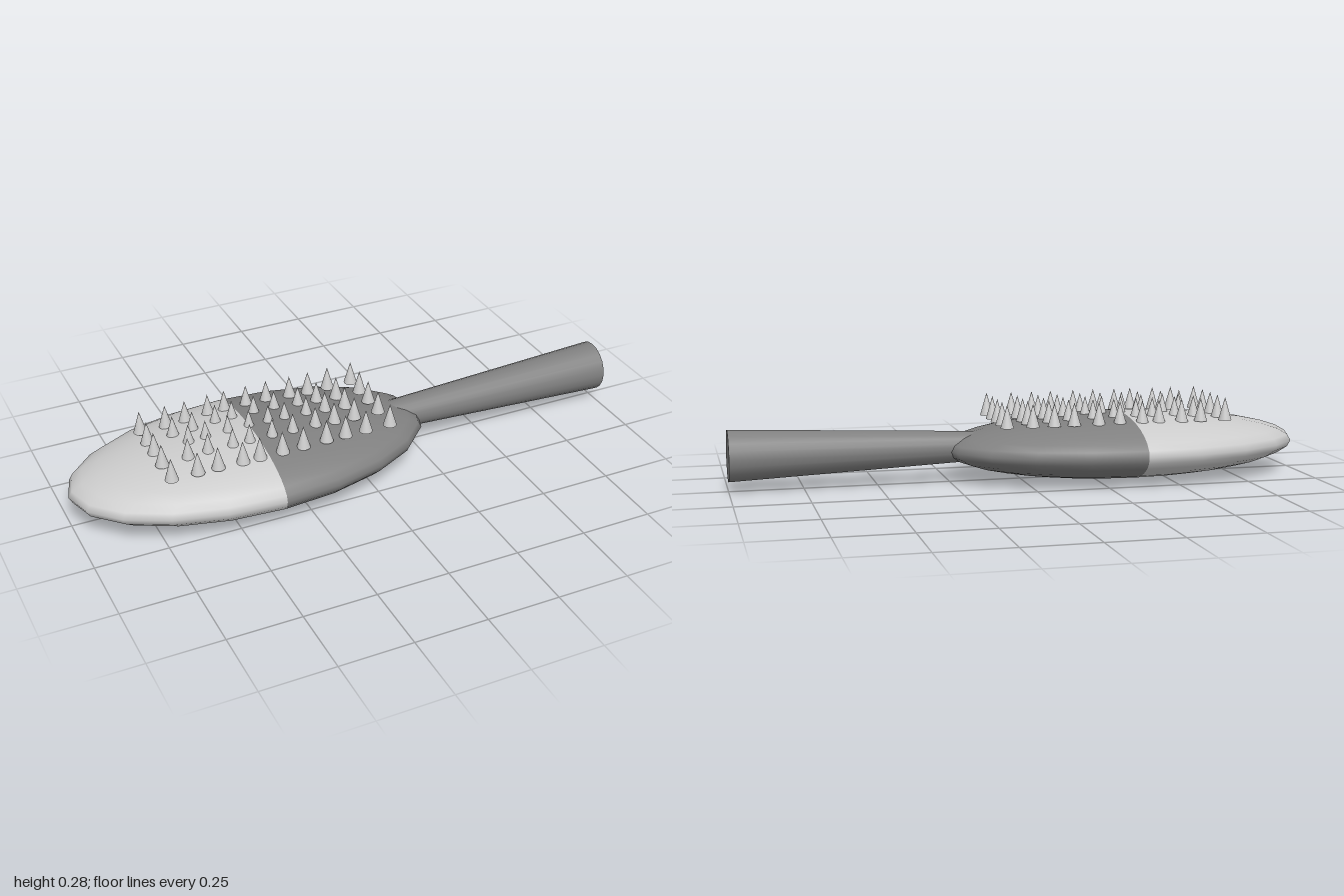
import * as THREE from 'three';

export function createModel() {
  const group = new THREE.Group();
  const light = new THREE.MeshStandardMaterial({ color: 0xcccccc });
  const dark = new THREE.MeshStandardMaterial({ color: 0x808080 });

  const add = (name, geometry, material, x, y, z, parent = group) => {
    const mesh = new THREE.Mesh(geometry, material);
    mesh.name = name;
    mesh.position.set(x, y, z);
    parent.add(mesh);
    return mesh;
  };

  // Flattened oval head, in a light front half and a dark handle-side half
  const half = (start) =>
    new THREE.SphereGeometry(1, 10, 16, start, Math.PI).scale(0.635, 0.111, 0.325);
  add('headTipHalf', half(-Math.PI / 2), light, -0.365, 0.111, 0);
  add('headHandleHalf', half(Math.PI / 2), dark, -0.365, 0.111, 0);

  // Handle, widening towards its flat end
  const handle = new THREE.CylinderGeometry(0.088, 0.049, 0.9, 20).rotateZ(-Math.PI / 2);
  add('handle', handle, dark, 0.55, 0.121, 0);

  // Five rows of conical bristles; the middle columns spread a little wider
  const bristles = new THREE.Group();
  bristles.name = 'bristles';
  group.add(bristles);
  const cone = new THREE.ConeGeometry(0.023, 0.08, 20);
  const sideColumns = [-0.7, -0.61, -0.54, -0.455, -0.395, -0.315, -0.24, -0.155, -0.085, -0.01, 0.08];
  const centreColumns = [-0.7, -0.58, -0.52, -0.44, -0.365, -0.295, -0.235, -0.155, -0.085, -0.01, 0.08];
  const rows = [[-0.145, -0.152], [-0.071, -0.08], [0, 0], [0.077, 0.083], [0.169, 0.172]];
  rows.forEach(([outerZ, middleZ], r) => {
    const columns = r === 2 ? centreColumns : sideColumns;
    columns.forEach((x, c) => {
      const z = c >= 3 && c <= 6 ? middleZ : outerZ;
      add('bristle', cone, light, x, 0.241, z, bristles);
    });
  });

  return group;
}
